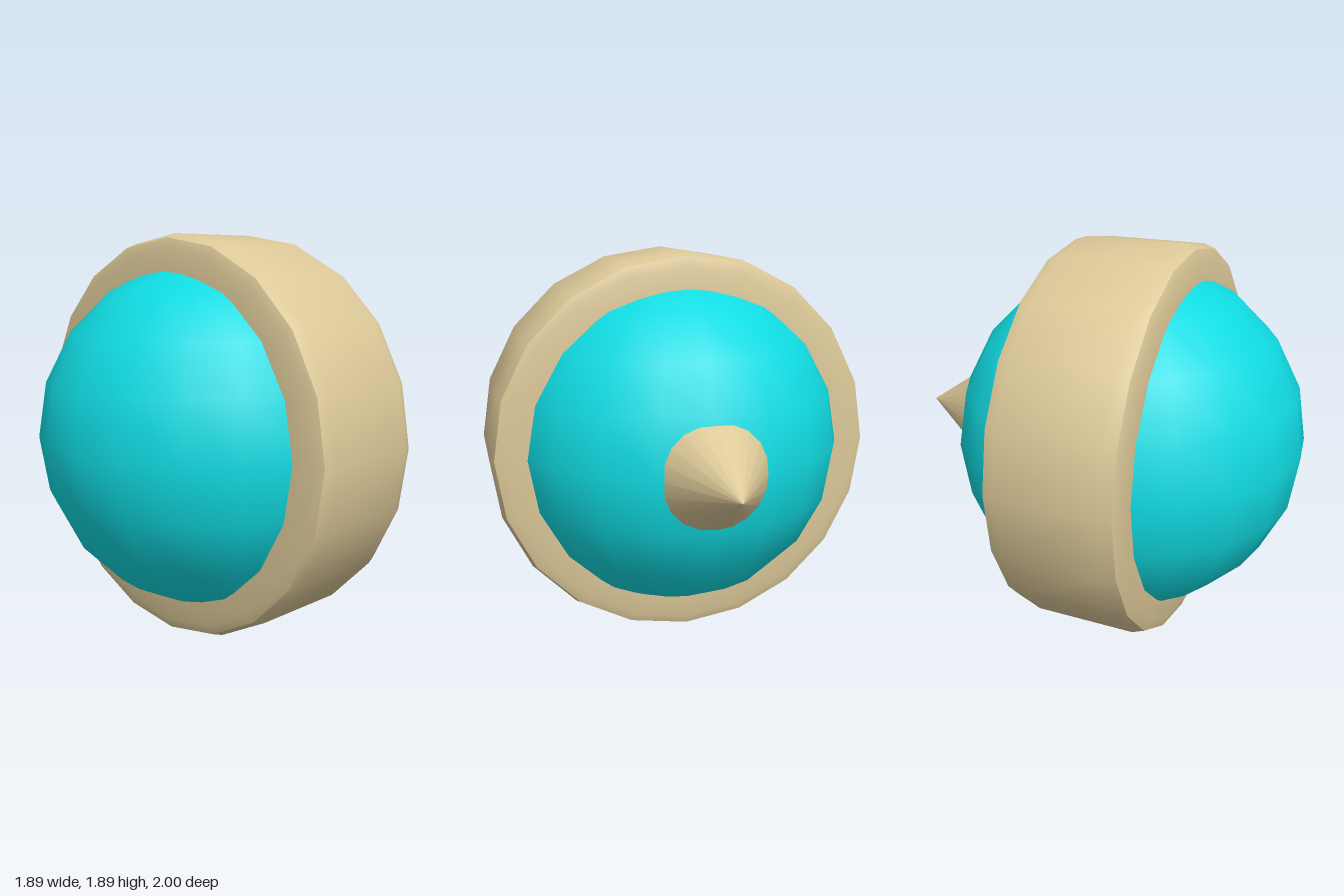
import * as THREE from 'three';
import { toCreasedNormals } from 'three/addons/utils/BufferGeometryUtils.js';

const SIDES = 20;
const CENTRE_Y = 0.946;
const CENTRE_Z = 0.157;

export function createModel() {
  const model = new THREE.Group();
  const teal = new THREE.MeshStandardMaterial({ color: 0x10dbe2 });
  teal.name = 'teal';
  const tan = new THREE.MeshStandardMaterial({ color: 0xdcc898 });
  tan.name = 'tan';

  const add = (name, geometry, material, z) => {
    const mesh = new THREE.Mesh(geometry, material);
    mesh.name = name;
    mesh.position.set(0, CENTRE_Y, z);
    model.add(mesh);
  };

  // Round body
  add('body', new THREE.SphereGeometry(0.843, SIDES, SIDES / 2), teal, CENTRE_Z);

  // Wide band with rounded rims, its side walls running into the body
  const rim = [[0.7, 0.316], [0.88, 0.316], [0.926, 0.298], [0.946, 0.243]];
  const profile = [
    ...rim.map(([r, h]) => new THREE.Vector2(r, -h)),
    ...rim.slice().reverse().map(([r, h]) => new THREE.Vector2(r, h)),
  ];
  const band = new THREE.LatheGeometry(profile, SIDES).rotateX(Math.PI / 2);
  add('band', toCreasedNormals(band, 0.6), tan, CENTRE_Z);

  // Pointed spike at the back, its base sunk into the body
  const spike = new THREE.ConeGeometry(0.338, 0.5, SIDES).rotateX(-Math.PI / 2);
  add('spike', spike, tan, -0.75);

  return model;
}
